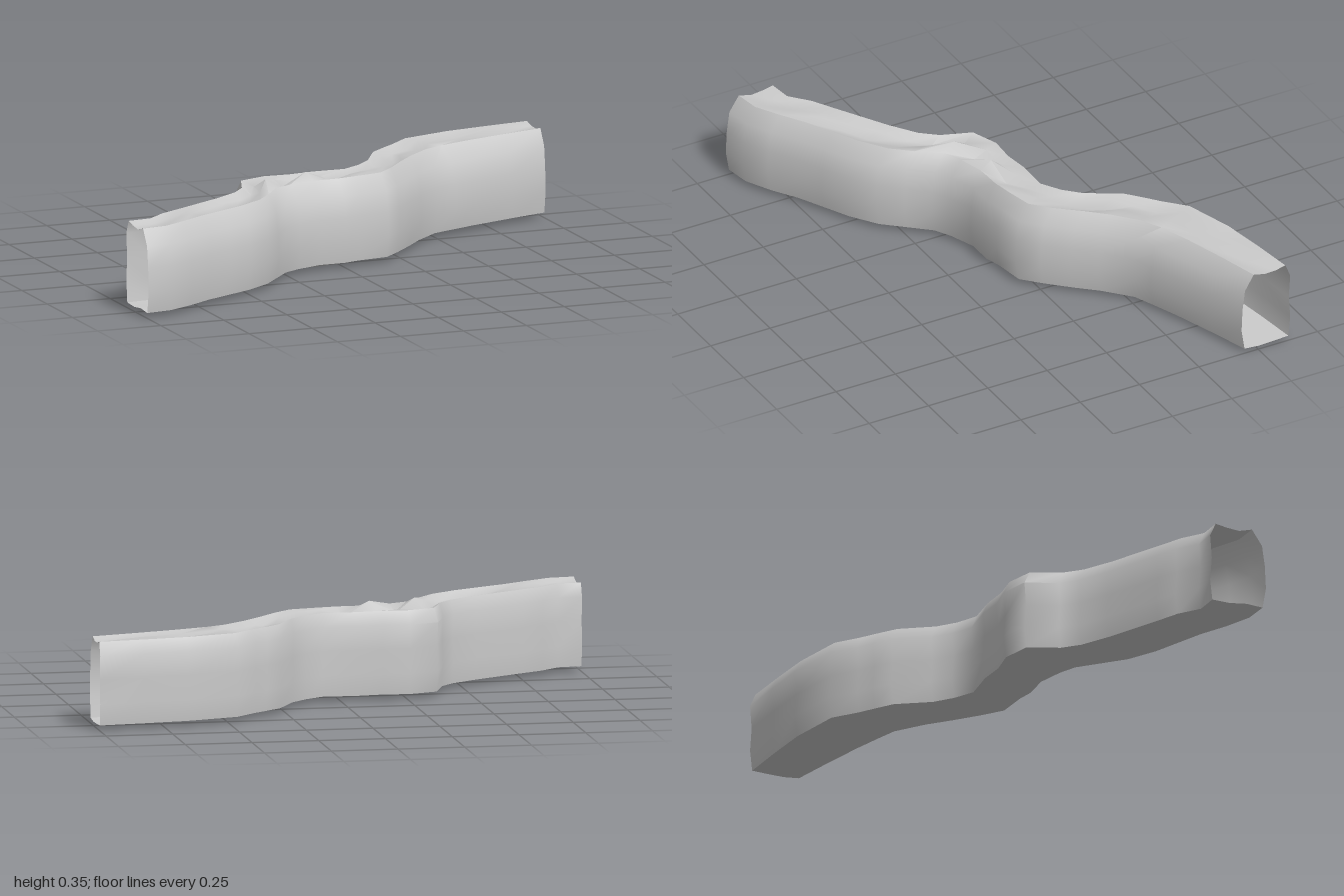
import * as THREE from 'three';
import { toCreasedNormals } from 'three/addons/utils/BufferGeometryUtils.js';

// Stations along the passage: front wall x, z, then back wall x, z
const stations = [
  [-1, 0.63, -1, 0.41], [-0.9, 0.615, -0.91, 0.4], [-0.8, 0.565, -0.84, 0.335],
  [-0.7, 0.5, -0.76, 0.29], [-0.6, 0.45, -0.66, 0.23], [-0.5, 0.4, -0.56, 0.17],
  [-0.4, 0.33, -0.46, 0.1], [-0.33, 0.25, -0.41, 0.04], [-0.26, 0.175, -0.37, -0.08],
  [-0.2, 0.14, -0.26, -0.12], [-0.1, 0.1, -0.16, -0.11], [0, 0.1, -0.06, -0.125],
  [0.06, 0.08, 0.07, -0.12], [0.18, 0.065, 0.14, -0.17], [0.25, 0, 0.2, -0.23],
  [0.33, -0.08, 0.27, -0.36], [0.4, -0.16, 0.33, -0.41], [0.5, -0.25, 0.38, -0.45],
  [0.58, -0.28, 0.46, -0.53], [0.68, -0.32, 0.66, -0.59], [0.85, -0.38, 0.83, -0.615],
  [1, -0.43, 1, -0.635],
];

// Cross-section loop: share of the way from back to front wall, height, roughness
const profile = [
  [0.04, 0.02, 0], [0, 0.1, 0], [0.03, 0.19, 0], [0, 0.28, 0], [0.1, 0.33, 0],
  [0.3, 0.32, 0.012], [0.52, 0.32, 0.012], [0.75, 0.33, 0], [0.93, 0.27, 0],
  [0.98, 0.19, 0], [1, 0.1, 0], [0.94, 0.02, 0], [0.65, 0.018, 0.007], [0.35, 0.018, 0.007],
];

// Single lumps: station, profile point, height
const lumps = [[8, 6, 0.353], [10, 6, 0.355], [10, 12, 0]];

function seeded(seed) {
  return () => (seed = (seed * 16807) % 2147483647) / 2147483647;
}

function passageGeometry() {
  const random = seeded(71);
  const positions = [], indices = [];
  const n = profile.length;
  stations.forEach(([fx, fz, bx, bz], i) => {
    const isEnd = i === 0 || i === stations.length - 1;
    profile.forEach(([s, y, rough], j) => {
      const shift = isEnd ? 0 : (random() - 0.5) * 0.02;
      const lump = lumps.find(([a, b]) => a === i && b === j);
      const height = lump ? lump[2] : y + (random() * 2 - 1) * rough;
      positions.push(bx + (fx - bx) * s + (rough ? shift : 0), height, bz + (fz - bz) * s);
      if (i === stations.length - 1) return;
      // Outward-facing quad to the next station
      const a = i * n + j, c = i * n + (j + 1) % n;
      indices.push(a, c, a + n, c, c + n, a + n);
    });
  });
  const geometry = new THREE.BufferGeometry();
  geometry.setAttribute('position', new THREE.Float32BufferAttribute(positions, 3));
  geometry.setIndex(indices);
  return toCreasedNormals(geometry, 0.95);
}

export function createModel() {
  const group = new THREE.Group();
  group.name = 'caveTunnel';
  // Thin rock shell, open at both ends
  const material = new THREE.MeshStandardMaterial({ color: 0xcccccc, side: THREE.DoubleSide });
  const shell = new THREE.Mesh(passageGeometry(), material);
  shell.name = 'tunnelShell';
  group.add(shell);
  return group;
}
